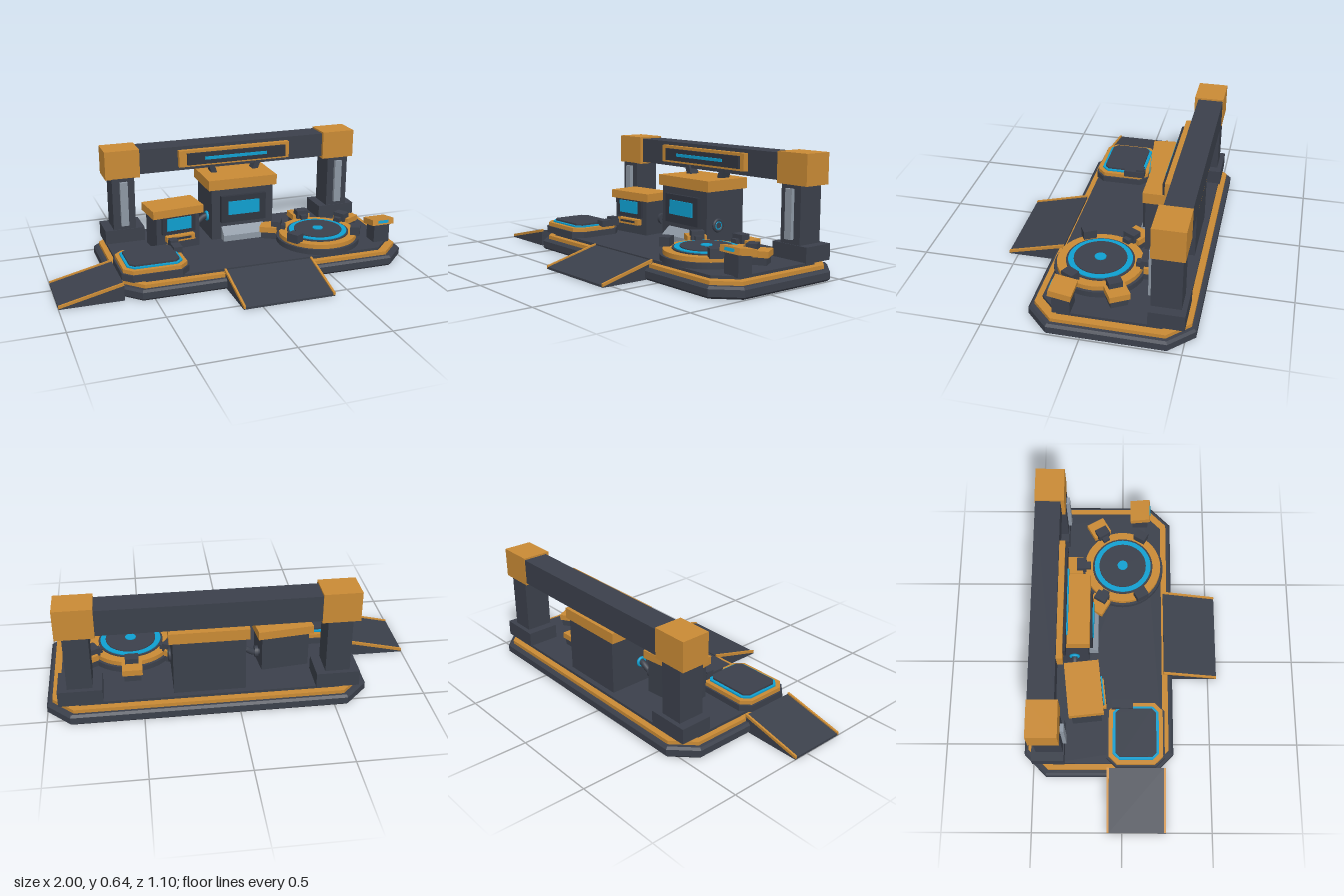
import * as THREE from 'three';

const mat = (name, hex) => {
  const m = new THREE.MeshStandardMaterial({ color: hex });
  m.name = name;
  return m;
};

export function createModel() {
  const root = new THREE.Group();
  root.name = 'workshopPlatform';
  const dark = mat('darkMetal', 0x3b404b);
  const deep = mat('deepMetal', 0x31353f);
  const orange = mat('orangePaint', 0xc98a35);
  const cyan = mat('cyanGlow', 0x0f9fd0);
  const silver = mat('silverMetal', 0x8d97a3);

  const group = (name, x = 0, y = 0, z = 0, ry = 0, parent = root) => {
    const g = new THREE.Group();
    g.name = name;
    g.position.set(x, y, z);
    g.rotation.y = ry;
    parent.add(g);
    return g;
  };
  const add = (name, geo, m, parent = root) => {
    const mesh = new THREE.Mesh(geo, m);
    mesh.name = name;
    parent.add(mesh);
    return mesh;
  };
  // Box given by its extents on each axis
  const box = (name, m, x0, x1, y0, y1, z0, z1, parent = root) => {
    const b = add(name, new THREE.BoxGeometry(x1 - x0, y1 - y0, z1 - z0), m, parent);
    b.position.set((x0 + x1) / 2, (y0 + y1) / 2, (z0 + z1) / 2);
    return b;
  };
  // Flat slab with cut corners
  const slab = (name, m, x0, x1, y0, y1, z0, z1, c, bevel = 0, parent = root) => {
    const [a, b, p, q] = [x0 + bevel, x1 - bevel, -z1 + bevel, -z0 - bevel];
    const s = new THREE.Shape([[a + c, p], [b - c, p], [b, p + c], [b, q - c], [b - c, q], [a + c, q], [a, q - c], [a, p + c]]
      .map(([u, v]) => new THREE.Vector2(u, v)));
    const g = new THREE.ExtrudeGeometry(s, {
      depth: y1 - y0 - 2 * bevel, bevelEnabled: bevel > 0, bevelSize: bevel, bevelThickness: bevel, bevelSegments: 1,
    });
    g.rotateX(-Math.PI / 2).translate(0, y0 + bevel, 0);
    return add(name, g, m, parent);
  };
  const disc = (name, m, r, y0, y1, parent) => {
    const d = add(name, new THREE.CylinderGeometry(r, r, y1 - y0, 40), m, parent);
    d.position.y = (y0 + y1) / 2;
    return d;
  };

  // Base and deck
  slab('baseSlab', dark, -0.69, 1.0, 0, 0.06, -0.55, 0.29, 0.115, 0.012);
  slab('trimBand', orange, -0.66, 0.97, 0.06, 0.08, -0.525, 0.262, 0.11);
  slab('deck', dark, -0.63, 0.93, 0.08, 0.095, -0.49, 0.228, 0.1);

  // Entry ramps: wedge plus two side rails
  const ramp = (name, u0, u1, width, ry, x, z) => {
    const g = group(name, x, 0, z, ry);
    const prism = (n, m, pts, w, off) => {
      const geo = new THREE.ExtrudeGeometry(new THREE.Shape(pts.map(p => new THREE.Vector2(...p))), { depth: w, bevelEnabled: false });
      geo.translate(0, 0, off - w / 2);
      add(n, geo, m, g);
    };
    prism('wedge', dark, [[u0, 0], [u1, 0], [u1, 0.012], [u0, 0.092]], width - 0.024, 0);
    for (const s of [-1, 1]) {
      const off = s * (width / 2 - 0.006);
      prism('rampSide', dark, [[u0, 0], [u1, 0], [u1, 0.004], [u0, 0.084]], 0.0118, off);
      prism('rampRail', orange, [[u0, 0.084], [u1, 0.004], [u1, 0.019], [u0, 0.1]], 0.012, off);
    }
  };
  ramp('frontRamp', 0.24, 0.55, 0.515, -Math.PI / 2, 0.152, 0);
  ramp('sideRamp', 0.655, 1.0, 0.33, Math.PI, 0, 0.08);

  // Gantry posts
  for (const x of [-0.52, 0.82]) {
    const p = group('gantryPost', x);
    box('postFoot', dark, -0.115, 0.115, 0.09, 0.175, -0.5, -0.32, p);
    box('postColumn', dark, -0.065, 0.065, 0.175, 0.48, -0.475, -0.325, p);
    box('postStrip', silver, -0.022, 0.022, 0.2, 0.46, -0.325, -0.305, p);
    box('postCap', orange, -0.1, 0.1, 0.478, 0.642, -0.488, -0.325, p);
  }
  // Beam with light panel
  box('beam', dark, -0.42, 0.72, 0.49, 0.632, -0.485, -0.345);
  box('panelFrame', orange, -0.19, 0.49, 0.515, 0.612, -0.346, -0.313);
  box('panelFace', deep, -0.145, 0.462, 0.528, 0.596, -0.314, -0.298);
  box('panelLight', cyan, -0.04, 0.34, 0.555, 0.572, -0.299, -0.29);
  for (const s of [-1, 1]) {
    const b = box('hanger', dark, -0.018, 0.018, 0.44, 0.52, -0.39, -0.33);
    b.position.x = 0.155 + s * 0.135;
    b.rotation.z = -s * 0.35;
    b.scale.x = 0.9;
  }

  // Main cabinet
  const main = group('mainCabinet', 0.152);
  box('cabinetBody', dark, -0.188, 0.188, 0.09, 0.4, -0.46, -0.19, main);
  box('cabinetCap', orange, -0.208, 0.208, 0.4, 0.46, -0.47, -0.178, main);
  box('screenFrame', deep, -0.137, 0.137, 0.2, 0.36, -0.19, -0.168, main);
  box('screen', cyan, -0.095, 0.095, 0.248, 0.328, -0.168, -0.161, main);
  const lip = new THREE.ExtrudeGeometry(
    new THREE.Shape([[0.19, 0.095], [0.14, 0.095], [0.14, 0.13], [0.19, 0.172]].map(p => new THREE.Vector2(...p))),
    { depth: 0.26, bevelEnabled: false });
  lip.rotateY(Math.PI / 2).translate(-0.13, 0, 0);
  add('cabinetLip', lip, silver, main);
  // Round side port
  const port = group('sidePort', 0.188, 0.21, -0.265, Math.PI / 2, main);
  add('portRing', new THREE.TorusGeometry(0.03, 0.009, 8, 24), dark, port).position.z = 0.008;
  add('portGlow', new THREE.TorusGeometry(0.02, 0.006, 8, 24), cyan, port).position.z = 0.01;
  const core = add('portCore', new THREE.CylinderGeometry(0.018, 0.018, 0.03, 16), dark, port);
  core.rotation.x = Math.PI / 2;

  // Small cabinet, turned slightly
  const small = group('smallCabinet', -0.265, 0, -0.208, 0.11);
  box('smallBody', dark, -0.13, 0.13, 0.09, 0.295, -0.085, 0.08, small);
  box('smallCap', orange, -0.152, 0.152, 0.295, 0.341, -0.098, 0.094, small);
  box('smallFrame', deep, -0.1, 0.1, 0.195, 0.294, 0.08, 0.096, small);
  box('smallScreen', cyan, -0.073, 0.073, 0.217, 0.288, 0.096, 0.104, small);
  box('smallTray', orange, -0.08, 0.09, 0.152, 0.185, 0.08, 0.113, small);
  box('traySlot', deep, -0.055, 0.065, 0.164, 0.176, 0.113, 0.117, small);

  // Hose between the cabinets
  const hose = new THREE.CatmullRomCurve3([[-0.15, 0.18, -0.25], [-0.1, 0.19, -0.265], [-0.06, 0.215, -0.27], [-0.03, 0.22, -0.27]]
    .map(p => new THREE.Vector3(...p)));
  add('hose', new THREE.TubeGeometry(hose, 16, 0.017, 10), dark);
  const collar = add('hoseCollar', new THREE.TorusGeometry(0.022, 0.008, 8, 20), cyan);
  collar.position.set(-0.042, 0.22, -0.27);
  collar.rotation.y = Math.PI / 2;
  const socket = add('hoseSocket', new THREE.CylinderGeometry(0.032, 0.032, 0.018, 16), dark);
  socket.position.set(-0.12, 0.186, -0.258);
  socket.rotation.z = Math.PI / 2;

  // Square pad
  const pad = group('squarePad');
  slab('padBase', dark, -0.655, -0.285, 0.09, 0.128, -0.085, 0.238, 0.05, 0, pad);
  slab('padTrim', orange, -0.645, -0.295, 0.128, 0.15, -0.075, 0.228, 0.045, 0, pad);
  slab('padGlow', cyan, -0.622, -0.318, 0.15, 0.158, -0.052, 0.205, 0.035, 0, pad);
  slab('padTop', dark, -0.608, -0.333, 0.15, 0.168, -0.036, 0.19, 0.025, 0, pad);
  box('padClamp', dark, -0.335, -0.285, 0.145, 0.182, -0.06, 0.06, pad);
  box('padClampHead', dark, -0.335, -0.29, 0.17, 0.195, -0.055, -0.01, pad);

  // Round turntable
  const table = group('turntable', 0.55);
  disc('tableBase', dark, 0.24, 0.09, 0.125, table);
  disc('tableTrim', orange, 0.225, 0.125, 0.15, table);
  disc('tableRim', dark, 0.178, 0.15, 0.156, table);
  disc('tableGlow', cyan, 0.167, 0.156, 0.161, table);
  disc('tableTop', dark, 0.138, 0.156, 0.166, table);
  disc('tableHub', cyan, 0.03, 0.166, 0.171, table);

  // Clamps around the turntable; the rear three stand on orange feet
  for (const deg of [90, 30, 150, -30, -150]) {
    const c = group('tableClamp', 0, 0, 0, THREE.MathUtils.degToRad(deg), table);
    const rear = deg > 0;
    const r = rear ? 0.24 : 0.215;
    if (rear) {
      box('clampFoot', dark, 0.235, 0.325, 0.09, 0.135, -0.045, 0.045, c);
      box('clampPlate', orange, 0.235, 0.335, 0.135, 0.168, -0.054, 0.054, c);
      box('clampArm', dark, 0.19, 0.25, 0.15, 0.175, -0.02, 0.02, c);
    }
    box('clampHead', dark, r - 0.025, r + 0.03, 0.148, 0.198, -0.036, 0.036, c);
  }

  // Control stand
  const stand = group('controlStand', 0.888, 0, 0.105);
  box('standPost', dark, -0.048, 0.048, 0.09, 0.2, -0.045, 0.045, stand);
  const desk = group('standDesk', 0, 0.21, 0, 0, stand);
  desk.rotation.x = -0.17;
  box('deskTop', orange, -0.067, 0.067, -0.017, 0.017, -0.058, 0.058, desk);
  box('deskLight', cyan, -0.032, 0.032, -0.007, 0.009, 0.058, 0.062, desk);
  return root;
}
